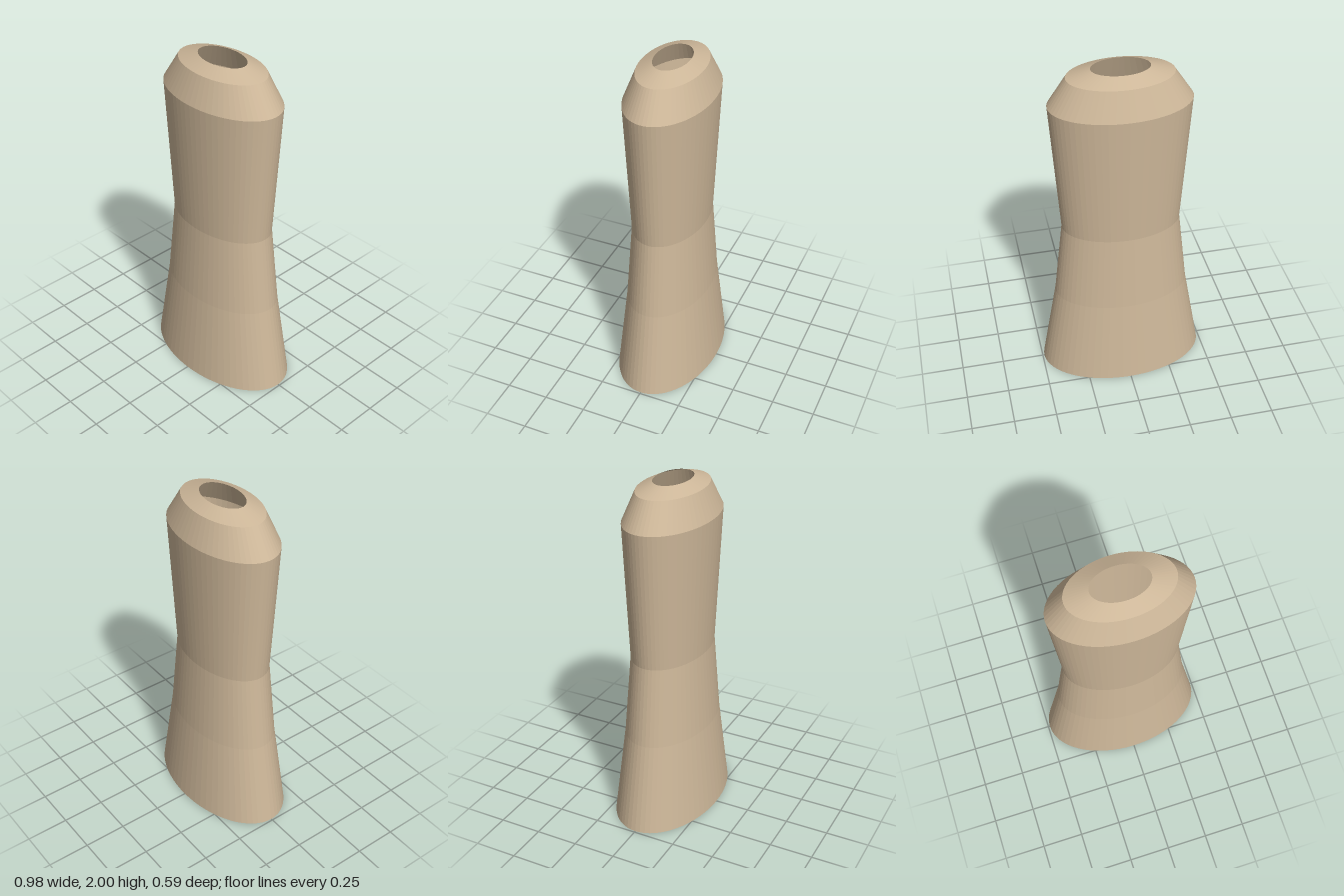
import * as THREE from 'three';

export function createModel() {
  const group = new THREE.Group();
  group.name = 'ovalSleeve';

  const tan = new THREE.MeshStandardMaterial({
    color: 0xcdb799,
    flatShading: true,
    side: THREE.DoubleSide,
  });
  tan.name = 'tan';

  // Oval shell: a turned profile squashed front to back
  const addShell = (name, profile) => {
    const points = profile.map(([x, y]) => new THREE.Vector2(x, y));
    const geometry = new THREE.LatheGeometry(points, 64);
    geometry.scale(1, 1, 0.6);
    const mesh = new THREE.Mesh(geometry, tan);
    mesh.name = name;
    group.add(mesh);
  };

  // Waisted body, open at the bottom
  addShell('body', [[0.49, 0], [0.398, 0.53], [0.345, 1], [0.398, 1.8]]);
  // Sloping shoulder
  addShell('shoulder', [[0.398, 1.8], [0.294, 1.96]]);
  // Shallow rim around the open top hole
  addShell('rim', [[0.294, 1.96], [0.161, 2]]);

  return group;
}
